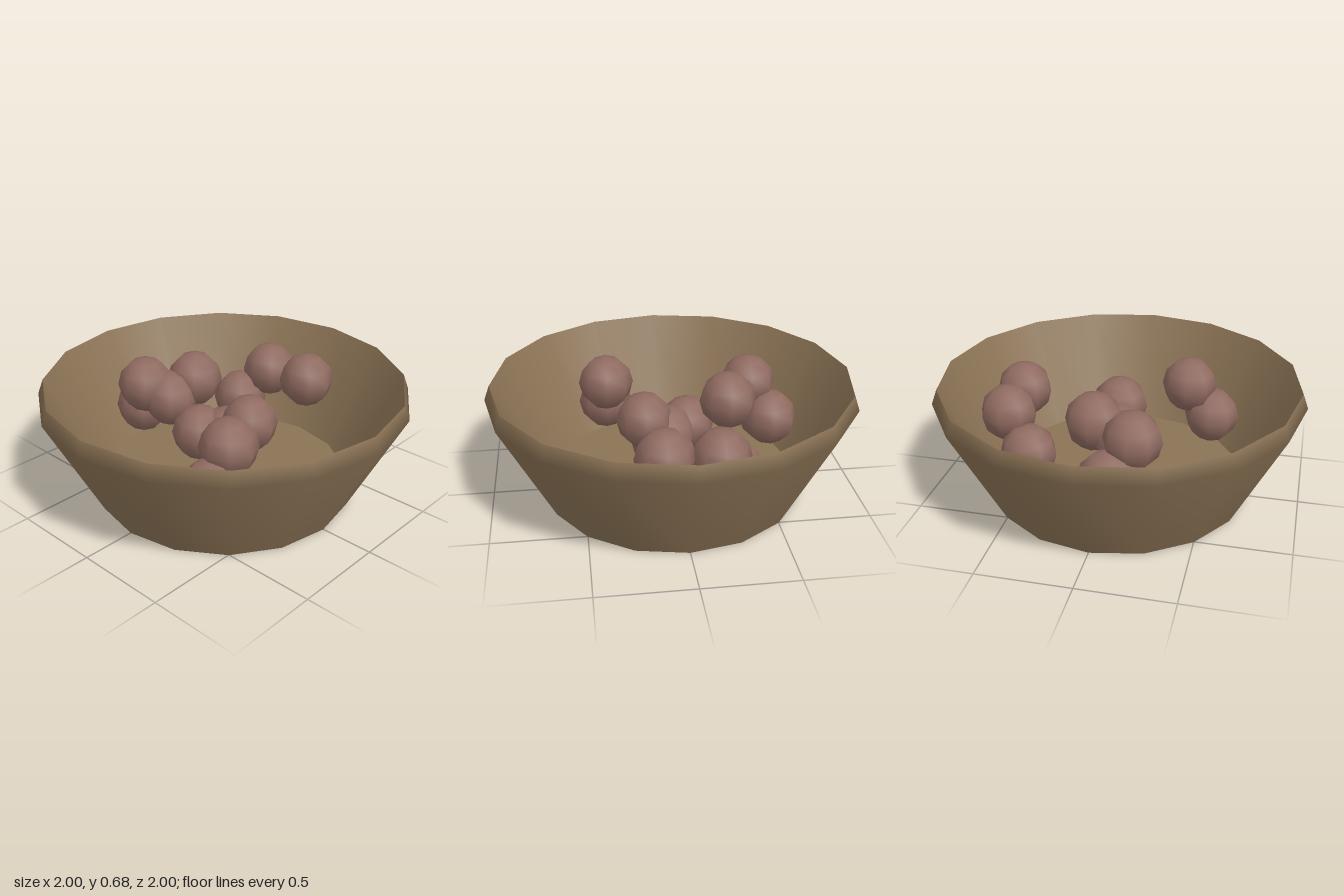
import * as THREE from 'three';

const SIDES = 16;

export function createModel() {
  const model = new THREE.Group();
  model.name = 'bowlOfBalls';

  const bowlMaterial = new THREE.MeshStandardMaterial({ color: 0x8b7355 });
  bowlMaterial.name = 'bowlBrown';
  const ballMaterial = new THREE.MeshStandardMaterial({ color: 0x8f6a60 });
  ballMaterial.name = 'ballBrown';

  // Bowl: separate lathes keep the base, rim and floor edges sharp
  const bowl = new THREE.Group();
  bowl.name = 'bowl';
  const surfaces = {
    bowlBase: [[0, 0], [0.71, 0]],
    bowlOuterWall: [[0.71, 0], [1, 0.57], [0.97, 0.65]],
    bowlInnerWall: [[0.97, 0.65], [0.68, 0.08]],
    bowlFloor: [[0.68, 0.08], [0, 0.08]],
  };
  for (const [name, profile] of Object.entries(surfaces)) {
    const points = profile.map(([r, y]) => new THREE.Vector2(r, y));
    const mesh = new THREE.Mesh(new THREE.LatheGeometry(points, SIDES), bowlMaterial);
    mesh.name = name;
    bowl.add(mesh);
  }
  model.add(bowl);

  // Balls heaped inside the bowl
  const balls = new THREE.Group();
  balls.name = 'balls';
  const ballGeometry = new THREE.SphereGeometry(0.155, 8, 6);
  const centres = [
    // back cluster
    [-0.17, 0.46, -0.58], [0.11, 0.475, -0.58], [-0.28, 0.29, -0.44],
    // left heap
    [-0.295, 0.528, -0.07], [-0.45, 0.523, 0.165], [-0.56, 0.345, 0.06],
    [-0.555, 0.335, 0.095], [-0.33, 0.45, 0.09],
    // middle heap
    [-0.095, 0.32, 0.095], [0.02, 0.315, 0], [0.07, 0.24, 0.05], [0.155, 0.417, -0.035],
    // front pair
    [0.34, 0.49, 0.33], [0.34, 0.31, 0.465],
  ];
  centres.forEach(([x, y, z], i) => {
    const ball = new THREE.Mesh(ballGeometry, ballMaterial);
    ball.name = `ball${i + 1}`;
    ball.position.set(x, y, z);
    balls.add(ball);
  });
  model.add(balls);

  return model;
}
